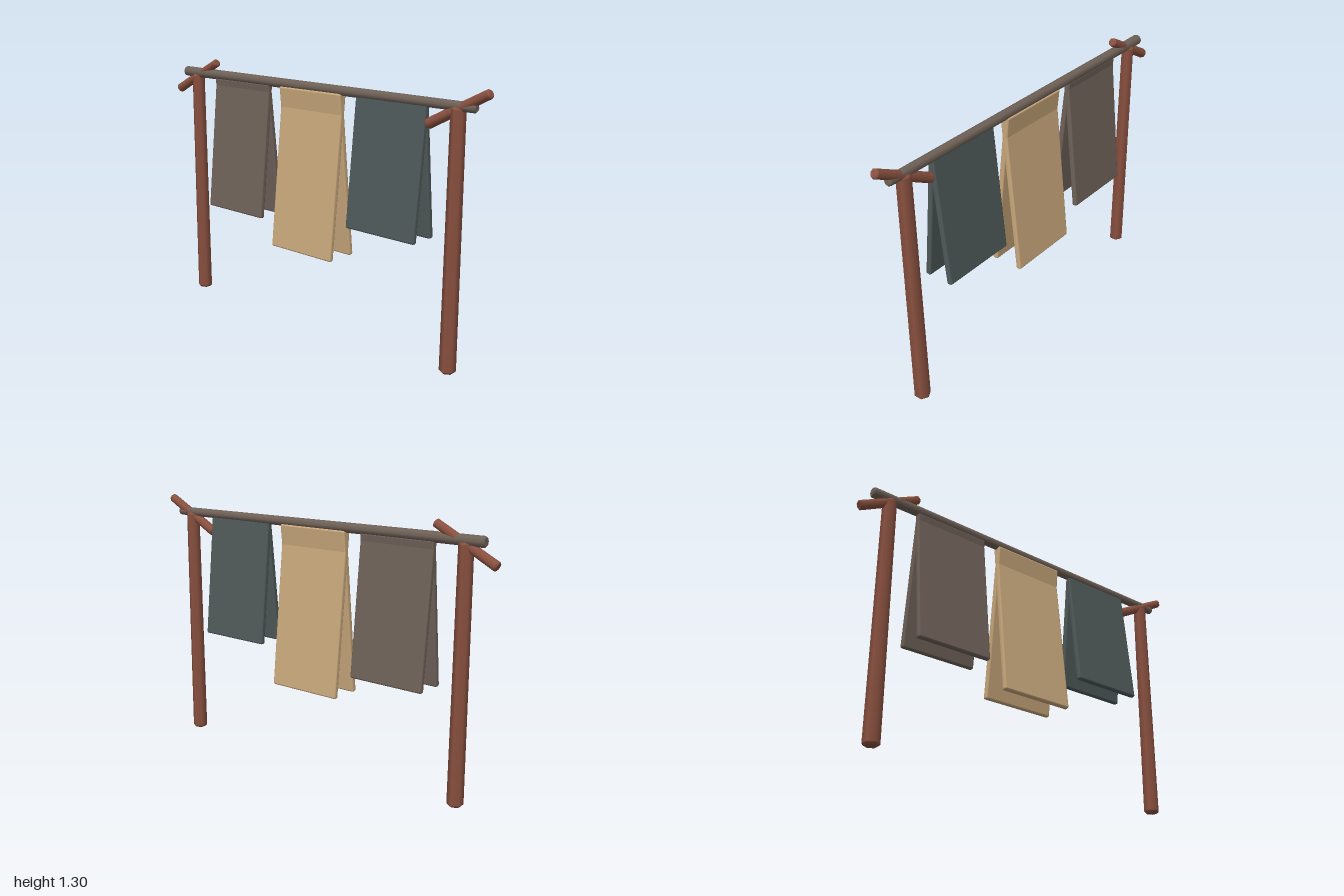
import * as THREE from 'three';
import { RoundedBoxGeometry } from 'three/addons/geometries/RoundedBoxGeometry.js';

function material(name, color) {
  const m = new THREE.MeshStandardMaterial({ color });
  m.name = name;
  return m;
}

// Tapered pole along y, centred on the origin, with bevelled ends
function poleGeometry(rBottom, rTop, length, sides, bevel = 0.008) {
  const h = length / 2;
  const profile = [
    [0, -h], [rBottom - bevel, -h], [rBottom - bevel, -h],
    [rBottom, -h + bevel], [rBottom, -h + bevel * 1.5],
    [rTop, h - bevel * 1.5], [rTop, h - bevel],
    [rTop - bevel, h], [rTop - bevel, h], [0, h],
  ].map(([x, y]) => new THREE.Vector2(x, y));
  // Repeated points would give empty faces, so nudge them apart
  profile[1].x -= 0.001;
  profile[8].x -= 0.001;
  return new THREE.LatheGeometry(profile, sides);
}

export function createModel() {
  const model = new THREE.Group();
  model.name = 'dryingRack';

  const redWood = material('red wood', 0x8a5140);
  const greyWood = material('grey wood', 0x6f6157);
  const brownCloth = material('brown cloth', 0x6f6259);
  const tanCloth = material('tan cloth', 0xc9a87c);
  const slateCloth = material('slate cloth', 0x4f5959);

  function add(name, geometry, mat, x, y, z) {
    const mesh = new THREE.Mesh(geometry, mat);
    mesh.name = name;
    mesh.position.set(x, y, z);
    model.add(mesh);
    return mesh;
  }

  // Upright posts, each with a slanted branch across its top
  const postGeometry = poleGeometry(0.039, 0.034, 1.215, 6);
  const branchGeometry = poleGeometry(0.025, 0.022, 0.35, 8, 0.006);
  for (const [side, x] of [['right', -0.832], ['left', 0.832]]) {
    add(side + 'Post', postGeometry, redWood, x, 0.6075, 0);
    const branch = add(side + 'Branch', branchGeometry, redWood, x, 1.204, 0);
    branch.rotation.z = -Math.PI / 2 + 0.485;
  }

  // Crossbar, thinner towards the left end
  const bar = add('crossbar', poleGeometry(0.026, 0.022, 1.85, 8, 0.006), greyWood, -0.002, 1.22, 0);
  bar.rotation.z = -Math.PI / 2 - 0.003;

  // Hanging cloths: two leaning panels each, crossing near the bar
  const top = 1.21, width = 0.395, thickness = 0.028;
  const cloths = [
    ['brownCloth', -0.482, 0.52, brownCloth],
    ['tanCloth', -0.003, 0.395, tanCloth],
    ['slateCloth', 0.478, 0.585, slateCloth],
  ];
  for (const [name, x, bottom, mat] of cloths) {
    const geometry = new RoundedBoxGeometry(width, top - bottom, thickness, 2, 0.009);
    for (const [face, s] of [['Front', 1], ['Back', -1]]) {
      const panel = add(name + face, geometry, mat, x, (top + bottom) / 2, s * 0.032);
      panel.rotation.x = -s * 0.105;
    }
  }

  return model;
}
